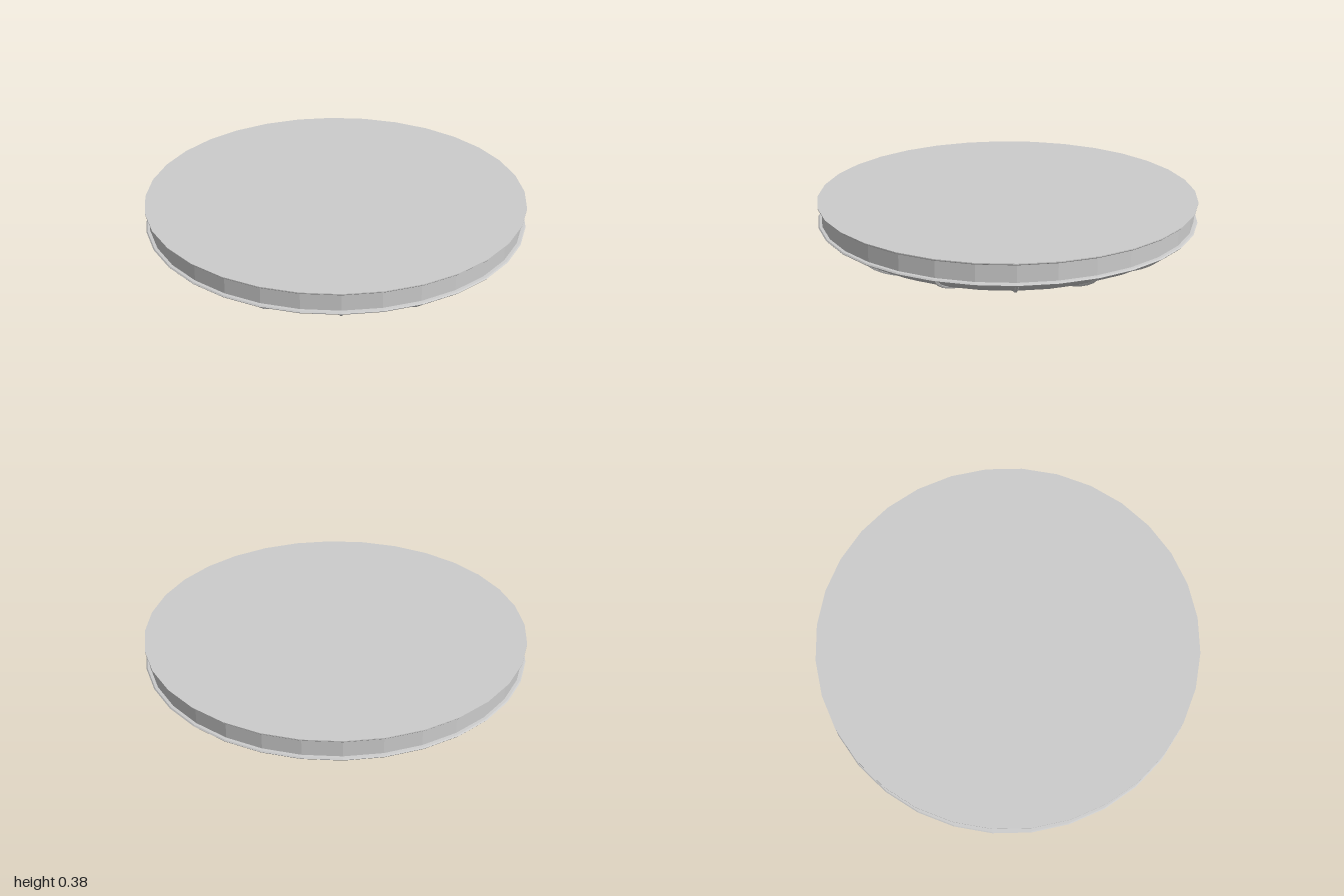
import * as THREE from 'three';

const SIDES = 32;
const RIBS = 16;

export function createModel() {
  const model = new THREE.Group();
  const material = new THREE.MeshStandardMaterial({ color: 0xcccccc, flatShading: true });

  // Adds a turned part from [radius, height] points, listed bottom to top
  function turned(name, points) {
    const profile = points.map(([r, y]) => new THREE.Vector2(r, y));
    const mesh = new THREE.Mesh(new THREE.LatheGeometry(profile, SIDES), material);
    mesh.name = name;
    model.add(mesh);
  }

  // Shallow faceted bowl
  const bowl = [[0, 0.048], [0.2, 0.052], [0.39, 0.07], [0.56, 0.097],
    [0.71, 0.137], [0.83, 0.18], [0.925, 0.228], [0.98, 0.27]];
  turned('bowl', bowl);

  // Upright band between two thin lips, closed by the flat top
  turned('rimBand', [[0.98, 0.27], [0.98, 0.38]]);
  turned('lowerLip', [[0.97, 0.268], [0.995, 0.27], [1, 0.276], [0.995, 0.282], [0.97, 0.284]]);
  turned('upperLipAndTop', [[0.97, 0.374], [0.995, 0.375], [1, 0.38], [1, 0.385], [0, 0.385]]);

  // Round hub under the middle
  turned('hub', [[0, 0.004], [0.12, 0.01], [0.143, 0.018], [0.148, 0.028],
    [0.148, 0.038], [0.135, 0.046], [0, 0.05]]);

  // Slim ribs following the bowl from hub to rim
  const path = new THREE.CatmullRomCurve3(
    bowl.slice(1).map(([r, y]) => new THREE.Vector3(r, y - 0.001, 0)));
  path.points.unshift(new THREE.Vector3(0.12, 0.046, 0));
  const ribGeometry = new THREE.TubeGeometry(path, 16, 0.009, 6);
  for (let i = 0; i < RIBS; i++) {
    const rib = new THREE.Mesh(ribGeometry, material);
    rib.name = `rib${i + 1}`;
    rib.rotation.y = (i / RIBS) * Math.PI * 2;
    model.add(rib);
  }
  return model;
}
